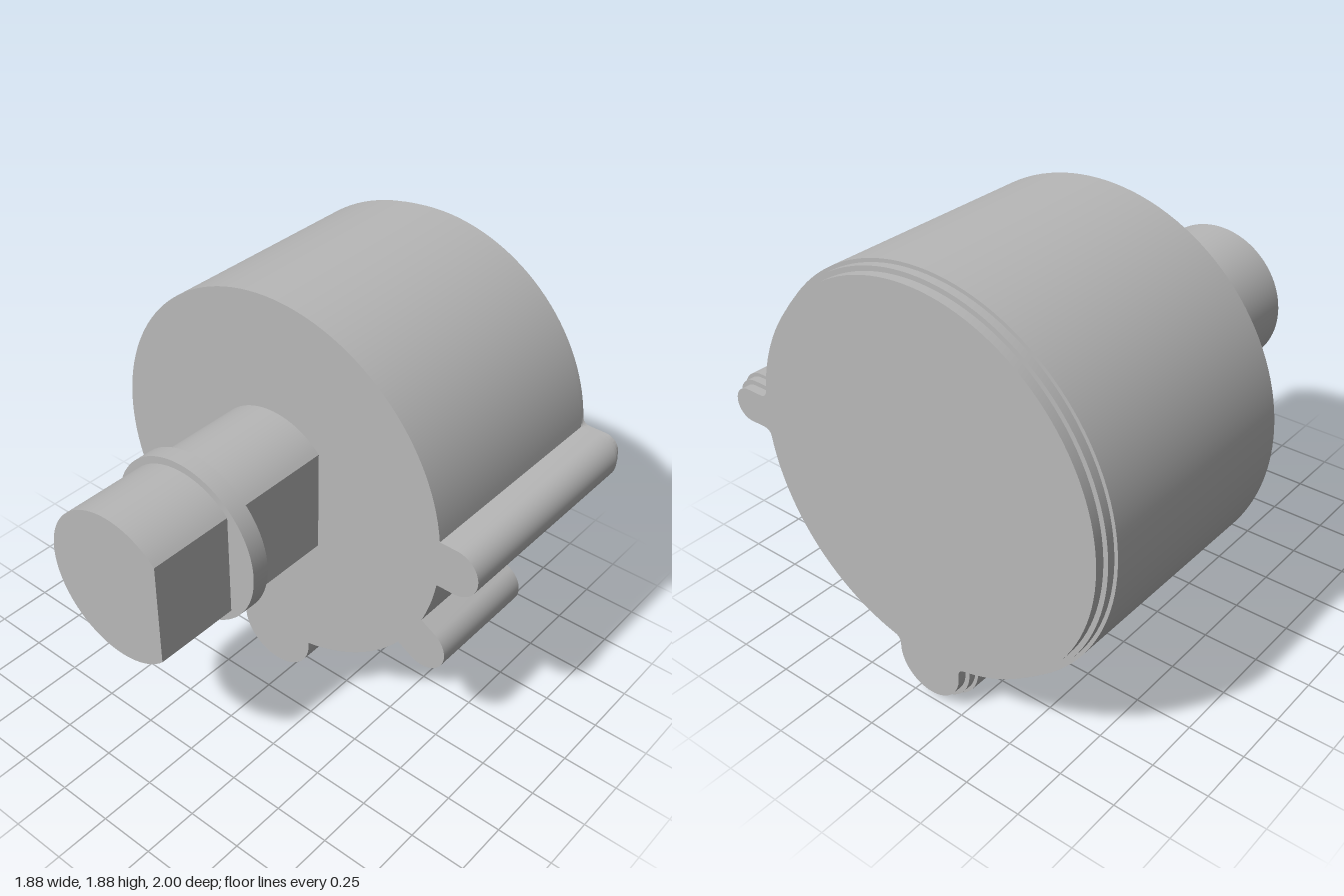
import * as THREE from 'three';
import { toCreasedNormals } from 'three/addons/utils/BufferGeometryUtils.js';

const CX = -0.09, CY = 1.035, R = 0.85;
const PI = Math.PI;

// Rounded lugs around the housing: direction, half width, distance to tip centre
const bottomLug = { angle: -PI / 2, w: 0.19, reach: 0.845 };
const sideLug = { angle: 0, w: 0.108, reach: 0.922 };
const shortLug = { angle: -PI / 6, w: 0.108, reach: 0.922 };

// Points along an arc about (cx, cy), turned by rot about the origin
function arc(cx, cy, r, a0, a1, n, rot = 0) {
  const pts = [];
  for (let i = 0; i <= n; i++) {
    const a = a0 + (a1 - a0) * i / n;
    pts.push(new THREE.Vector2(cx + r * Math.cos(a), cy + r * Math.sin(a))
      .rotateAround(new THREE.Vector2(), rot));
  }
  return pts;
}

const halfAngle = lug => Math.asin(lug.w / R);

// Housing outline, shrunk by d, with round relief at the inner corners
function housingOutline(lugs, d) {
  const pts = [];
  lugs.forEach((lug, i) => {
    const h = halfAngle(lug), x = R * Math.cos(h);
    if (d > 0) pts.push(...arc(x, -lug.w, d, PI - h, PI / 2, 6, lug.angle));
    pts.push(...arc(lug.reach, 0, lug.w - d, -PI / 2, PI / 2, 28, lug.angle));
    if (d > 0) pts.push(...arc(x, lug.w, d, -PI / 2, h - PI, 6, lug.angle));
    const next = lugs[(i + 1) % lugs.length];
    const start = lug.angle + h;
    let end = next.angle - halfAngle(next);
    if (end < start) end += 2 * PI;
    const n = Math.ceil((end - start) / 0.05);
    const body = arc(0, 0, R - d, start, end, n);
    pts.push(...(d > 0 ? body.slice(1, -1) : body));
  });
  return pts;
}

// Straight extrusion between two z positions with smooth curved walls
function extrude(pts, z0, z1) {
  const geo = new THREE.ExtrudeGeometry(new THREE.Shape(pts), {
    depth: z1 - z0, bevelEnabled: false,
  });
  geo.translate(CX, CY, z0);
  return toCreasedNormals(geo, 0.4);
}

export function createModel() {
  const group = new THREE.Group();
  const grey = new THREE.MeshStandardMaterial({ color: 0xb8b8b8 });
  grey.name = 'grey';
  const add = (name, geo) => {
    const mesh = new THREE.Mesh(geo, grey);
    mesh.name = name;
    group.add(mesh);
  };

  // Housing with two full-length lugs and a stepped rear rim
  const lugs = [bottomLug, sideLug];
  add('housing', extrude(housingOutline(lugs, 0), -0.925, 0.09));
  add('rearStep', extrude(housingOutline(lugs, 0.015), -0.96, -0.925));
  add('rearCover', extrude(housingOutline(lugs, 0.035), -1, -0.96));

  // Short lug, its inner edge following the housing wall
  const h = halfAngle(shortLug), a = shortLug.angle;
  add('shortLug', extrude([
    ...arc(shortLug.reach, 0, shortLug.w, -PI / 2, PI / 2, 28, a),
    ...arc(0, 0, R, a + h, a - h, 6),
  ], -0.45, 0.09));

  // Shaft with one flat side
  const flat = Math.acos(0.24 / 0.335);
  add('shaft', extrude(arc(0, 0, 0.335, flat, 2 * PI - flat, 72), 0.09, 1));

  // Collar around the shaft
  const collar = new THREE.CylinderGeometry(0.367, 0.367, 0.08, 96);
  collar.rotateX(PI / 2).translate(CX, CY, 0.58);
  add('collar', collar);

  return group;
}
